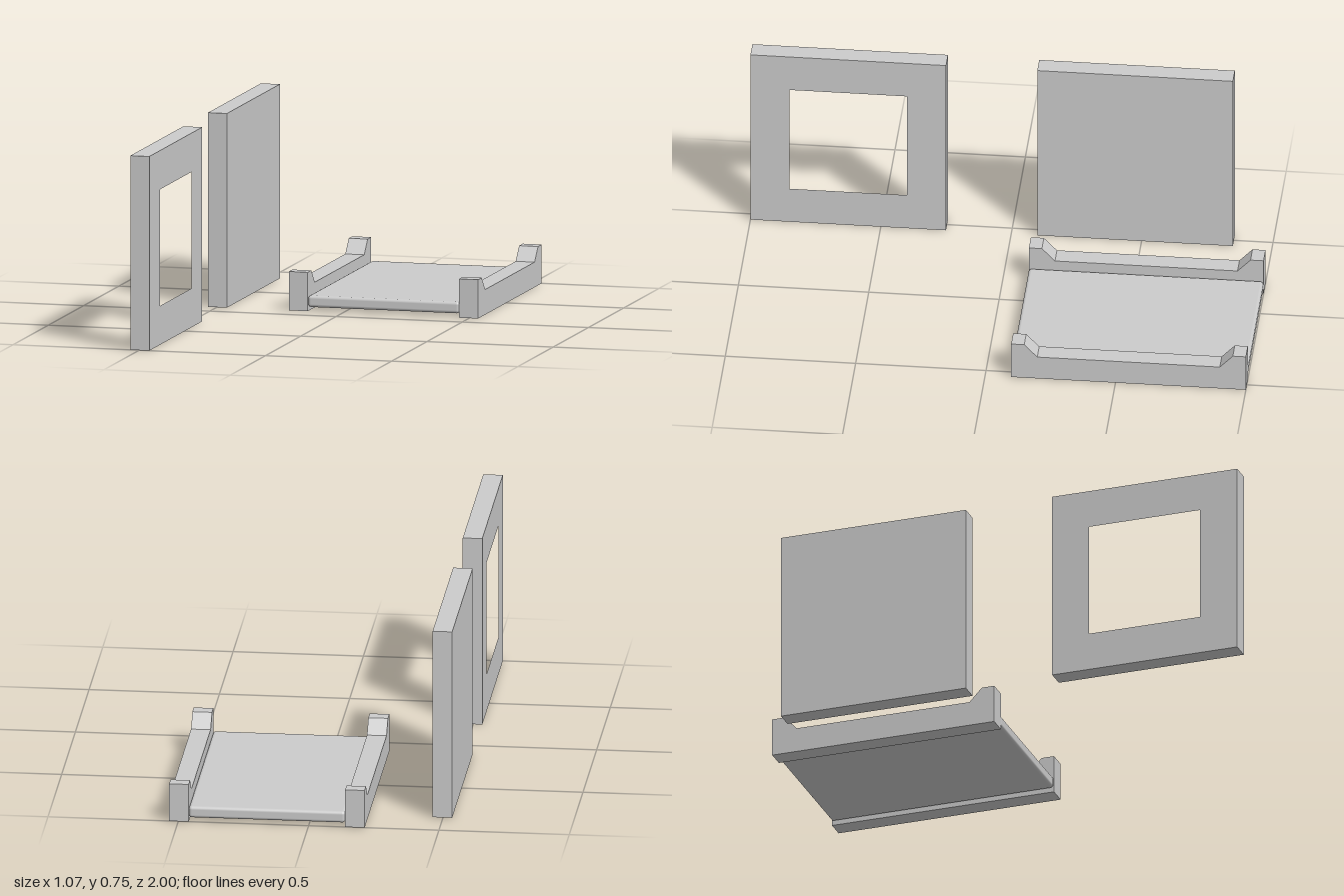
import * as THREE from 'three';
import { RoundedBoxGeometry } from 'three/addons/geometries/RoundedBoxGeometry.js';

const THICK = 0.075; // thickness of panels and rails along x

// Outline points are [z, y]; the plate spans x0 .. x0 + THICK.
function plate(name, outline, x0, material, hole) {
  const toShape = pts => pts.map(([z, y]) => new THREE.Vector2(-z, y));
  const shape = new THREE.Shape(toShape(outline));
  if (hole) shape.holes.push(new THREE.Path(toShape(hole)));
  const geometry = new THREE.ExtrudeGeometry(shape, { depth: THICK, bevelEnabled: false });
  geometry.rotateY(Math.PI / 2);
  geometry.translate(x0, 0, 0);
  const mesh = new THREE.Mesh(geometry, material);
  mesh.name = name;
  return mesh;
}

const rect = (z0, z1, y0, y1) => [[z0, y0], [z1, y0], [z1, y1], [z0, y1]];

export function createModel() {
  const group = new THREE.Group();
  const material = new THREE.MeshStandardMaterial({ color: 0xcccccc });

  // Upright panels: one with a square window, one solid
  group.add(plate('windowPanel', rect(0.25, 1, 0, 0.75), -0.535, material, rect(0.4, 0.85, 0.15, 0.6)));
  group.add(plate('solidPanel', rect(-0.85, -0.1, 0, 0.75), -0.535, material));

  // Side rails with a raised, ramped post at each end
  const railProfile = [
    [-0.1, 0], [-0.1, 0.15], [-0.15, 0.15], [-0.2, 0.097],
    [-0.9, 0.097], [-0.95, 0.15], [-1, 0.15], [-1, 0],
  ];
  group.add(plate('rightRail', railProfile, -0.215, material));
  group.add(plate('leftRail', railProfile, 0.46, material));

  // Thin deck with softly rounded edges between the rails
  const deck = new THREE.Mesh(new RoundedBoxGeometry(0.6, 0.045, 0.9, 4, 0.012), material);
  deck.name = 'deck';
  deck.position.set(0.16, 0.0375, -0.55);
  group.add(deck);

  return group;
}
